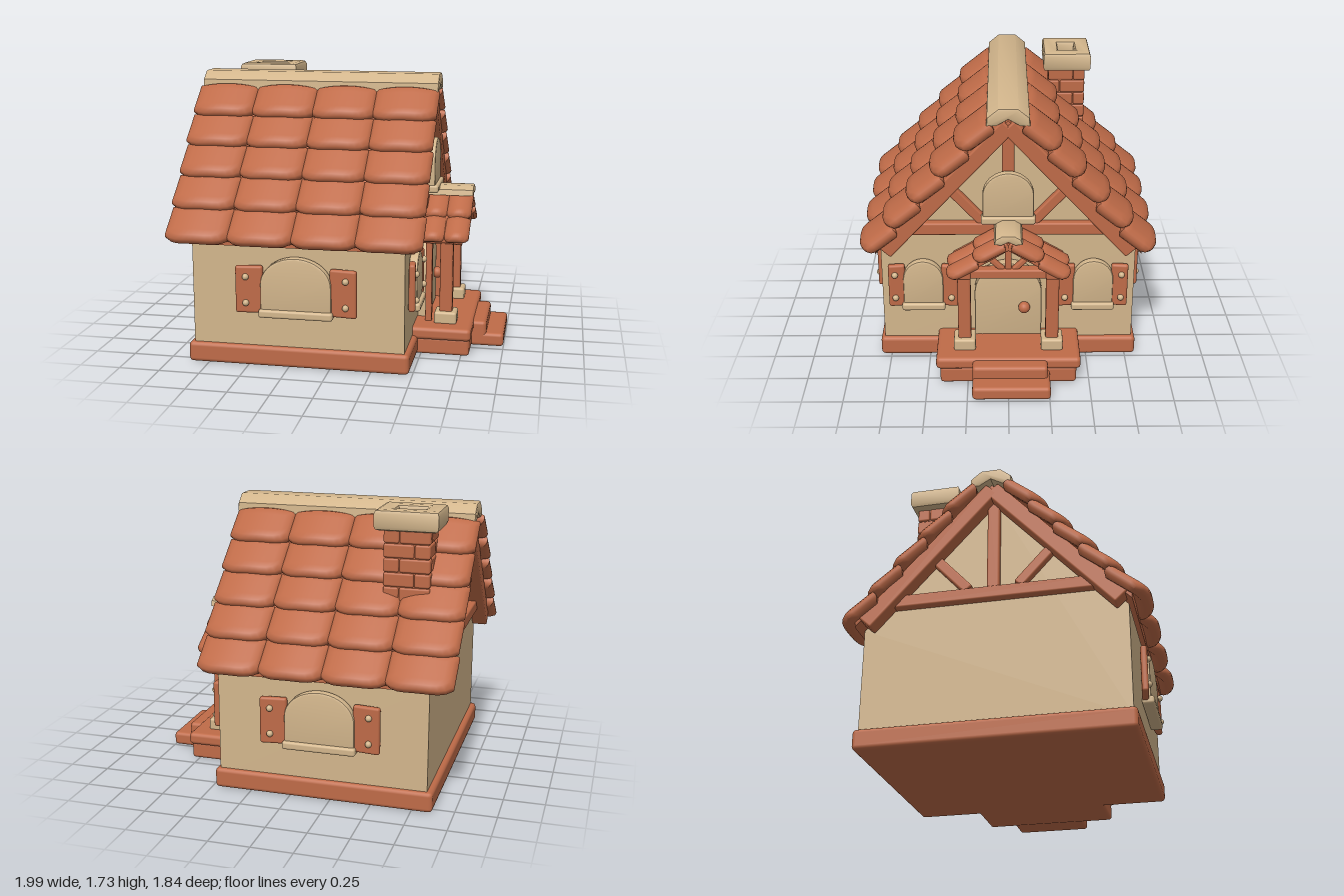
import * as THREE from 'three';
import { RoundedBoxGeometry } from 'three/addons/geometries/RoundedBoxGeometry.js';
import { mergeVertices, toCreasedNormals } from 'three/addons/utils/BufferGeometryUtils.js';

const makeMat = (name, color) => Object.assign(new THREE.MeshStandardMaterial({ color }), { name });
const terracotta = makeMat('terracotta', 0xbf6b48);
const plaster = makeMat('cream plaster', 0xd3b68c);
const glass = makeMat('dusky glass', 0x8c6a60);

const group = (name, parent) => {
  const g = new THREE.Group();
  g.name = name;
  parent?.add(g);
  return g;
};
const mesh = (name, geo, mat, parent, x = 0, y = 0, z = 0) => {
  const m = new THREE.Mesh(geo, mat);
  m.name = name;
  m.position.set(x, y, z);
  parent.add(m);
  return m;
};
// Soft-edged box given by its centre and size
const box = (name, mat, parent, [x, y, z], [w, h, d], r = 0.012) =>
  mesh(name, new RoundedBoxGeometry(w, h, d, 2, r), mat, parent, x, y, z);
// Soft-edged box given by its two x, y and z limits
const span = (name, mat, parent, x0, x1, y0, y1, z0, z1, r) =>
  box(name, mat, parent, [(x0 + x1) / 2, (y0 + y1) / 2, (z0 + z1) / 2], [x1 - x0, y1 - y0, z1 - z0], r);
// Beam in the local xy plane between two points
const beam = (name, parent, [x0, y0], [x1, y1], width, z, depth) => {
  const m = box(name, terracotta, parent, [(x0 + x1) / 2, (y0 + y1) / 2, z],
    [Math.hypot(x1 - x0, y1 - y0), width, depth]);
  m.rotation.z = Math.atan2(y1 - y0, x1 - x0);
  return m;
};
const extrude = (shape, depth, bevel = 0) => toCreasedNormals(new THREE.ExtrudeGeometry(shape, {
  depth: depth - 2 * bevel, bevelEnabled: bevel > 0, bevelSize: bevel, bevelThickness: bevel,
  bevelOffset: -bevel, bevelSegments: 2, curveSegments: 14,
}).translate(0, 0, bevel), 0.7);
const polygon = pts => new THREE.Shape(pts.map(p => new THREE.Vector2(...p)));
// Profile in the (z, y) plane drawn out along x
const extrudeX = (name, mat, parent, pts, x0, x1, bevel) =>
  mesh(name, extrude(polygon(pts), x1 - x0, bevel).rotateY(Math.PI / 2), mat, parent, x0);

// Opening with straight sides and an elliptical top
function arch(w, y0, y1, rise, Type = THREE.Shape) {
  const s = new Type();
  s.moveTo(-w, y0);
  s.lineTo(w, y0);
  s.lineTo(w, y1 - rise);
  s.absellipse(0, y1 - rise, w, rise, 0, Math.PI, false);
  s.closePath();
  return s;
}
function archFrame(w, y0, y1, rise, border, depth, parent) {
  const s = arch(w, y0, y1, rise);
  s.holes.push(arch(w - border, y0 + 0.015, y1 - border, rise - border * 0.6, THREE.Path));
  mesh('archFrame', extrude(s, depth, 0.012), plaster, parent);
}

// Window facing +z, bottom of sill at y = 0
function makeWindow(parent, w, h, rise, border, shutter) {
  const g = group('window', parent);
  archFrame(w, 0.02, h, rise, border, 0.055, g);
  mesh('glass', extrude(arch(w - border / 2, 0.03, h - border / 2, rise - border / 2), 0.009), glass, g, 0, 0, 0.004);
  const top = h - border / 2;
  span('mullion', plaster, g, -0.011, 0.011, 0.03, top, 0, 0.035, 0.005);
  span('transom', plaster, g, border / 2 - w, w - border / 2, h * 0.47, h * 0.47 + 0.022, 0, 0.033, 0.005);
  span('sill', plaster, g, -w - 0.01, w + 0.01, 0, 0.05, 0, 0.075, 0.015);
  if (shutter) for (const s of [-1, 1]) {
    const hinge = group('shutter', g);
    hinge.position.set(s * (w - 0.012 + shutter / 2), 0.165, 0.03);
    hinge.rotation.y = -s * 0.12;
    box('shutterPanel', terracotta, hinge, [0, 0, 0], [shutter, 0.29, 0.04], 0.015);
    for (const y of [-0.08, 0.08])
      mesh('shutterStud', new THREE.SphereGeometry(0.02, 12, 8), plaster, hinge, s * shutter * 0.12, y, 0.024);
  }
  return g;
}

// Pillowed tile: y = 0 at its scalloped lip, rising upslope, crowned along z
function tileGeometry(w, len, t) {
  const geo = new THREE.BoxGeometry(w, len, t, 10, 5, 4);
  const p = geo.attributes.position;
  for (let i = 0; i < p.count; i++) {
    const u = p.getX(i) / (w / 2), v = p.getY(i) / len + 0.5, k = p.getZ(i) / (t / 2);
    const inset = 0.4 * t * (1 - Math.sqrt(1 - 0.96 * k * k));
    const lift = len * 0.2 * u ** 4 * (1 - v);
    p.setXYZ(i, u * (w / 2 - inset), inset + v * (len - 2 * inset) + lift,
      p.getZ(i) - t * 0.35 * u * u);
  }
  geo.deleteAttribute('normal');
  geo.deleteAttribute('uv');
  const g = mergeVertices(geo, 1e-4);
  g.computeVertexNormals();
  return toCreasedNormals(g, 1.1);
}
// Both slopes of a tiled roof, centred on x, with ridge along x
function tiledRoof(name, parent, x, o) {
  const roof = group(name, parent);
  roof.position.x = x;
  const geo = tileGeometry(o.width + 0.012, o.len, o.thick);
  for (const turn of [0, Math.PI]) {
    const slope = group('roofSlope', roof);
    slope.rotation.y = turn;
    for (let r = 0; r < o.rows; r++) for (let c = 0; c < o.cols; c++) {
      const m = mesh('roofTile', geo, terracotta, slope, (c - (o.cols - 1) / 2) * o.width,
        o.lip[1] - r * o.step[1], o.lip[0] + r * o.step[0]);
      m.rotation.x = o.tilt - Math.PI / 2;
      m.scale.x = 1 + 0.015 * ((r + c) % 2);
    }
  }
}
// Chevron closing a roof from below
const chevron = (parent, z, y, apex, t, x0, x1) => extrudeX('roofDeck', terracotta, parent,
  [[-z, y], [0, apex], [z, y], [z, y + t], [0, apex + t], [-z, y + t]], x0, x1, 0.005);

// Timber framing of a main gable, facing +z
function gableTimbers(parent, overhang) {
  const g = group('gableTimbers', parent);
  for (const s of [-1, 1]) {
    beam('bargeBoard', g, [0, 1.59], [s * 0.76, 0.765], 0.1, overhang / 2, overhang);
    beam('gableBrace', g, [s * 0.36, 1.18], [s * 0.15, 0.95], 0.065, 0.015, 0.05);
  }
  beam('tieBeam', g, [-0.68, 0.91], [0.68, 0.91], 0.08, 0.02, 0.06);
  beam('kingPost', g, [0, 0.93], [0, 1.55], 0.075, 0.015, 0.05);
  return g;
}

export function createModel() {
  const house = group('cottage');
  const Z = 0.79, XF = 0.45, XB = -0.84;

  // Plinth, walls and main roof
  span('plinth', terracotta, house, -0.875, 0.48, 0, 0.125, -0.815, 0.815, 0.025);
  extrudeX('walls', plaster, house, [[-Z, 0.08], [Z, 0.08], [Z, 0.76], [0, 1.57], [-Z, 0.76]], XB, XF);
  chevron(house, 0.82, 0.745, 1.57, 0.05, -0.93, 0.51);
  tiledRoof('mainRoof', house, -0.215, { cols: 4, rows: 5, width: 0.383, len: 0.27, thick: 0.08,
    lip: [0.32, 1.45], step: [0.148, 0.168], tilt: 0.67 });
  extrudeX('ridgeCap', plaster, house, [[-0.13, 1.6], [-0.07, 1.6], [0, 1.64], [0.07, 1.6], [0.13, 1.6],
    [0.125, 1.655], [0.06, 1.708], [-0.06, 1.708], [-0.125, 1.655]], -0.965, 0.555, 0.014);

  // Gables
  const front = gableTimbers(house, 0.08);
  front.position.x = XF;
  front.rotation.y = Math.PI / 2;
  const rear = gableTimbers(house, 0.1);
  rear.position.x = XB;
  rear.rotation.y = -Math.PI / 2;
  const attic = makeWindow(front, 0.155, 0.33, 0.15, 0.055, 0);
  attic.position.set(0, 0.97, 0.04);

  // Windows on the long walls and beside the door
  for (const s of [-1, 1]) {
    const side = makeWindow(house, 0.215, 0.37, 0.17, 0.06, 0.165);
    side.position.set(-0.195, 0.32, s * Z);
    side.rotation.y = s > 0 ? 0 : Math.PI;
    const small = makeWindow(house, 0.125, 0.34, 0.13, 0.04, 0.105);
    small.position.set(XF, 0.35, s * 0.53);
    small.rotation.y = Math.PI / 2;
  }

  // Chimney of staggered bricks with a hollow cap
  const chimney = group('chimney', house);
  chimney.position.set(-0.63, 0, -0.395);
  span('chimneyCore', terracotta, chimney, -0.13, 0.13, 1.0, 1.62, -0.11, 0.11, 0.005);
  for (let r = 0; r < 6; r++) {
    const y = 1.1 + r * 0.086, cx = r % 2 ? 0.045 : -0.045, cz = -cx;
    for (const [x0, x1] of [[-0.142, cx], [cx, 0.142]]) for (const [z0, z1] of [[-0.123, cz], [cz, 0.123]])
      span('chimneyBrick', terracotta, chimney, x0 + 0.002, x1 - 0.002, y, y + 0.083, z0 + 0.002, z1 - 0.002, 0.012);
  }
  const rect = (w, d, T) => new T([[-w, -d], [w, -d], [w, d], [-w, d]].map(p => new THREE.Vector2(...p)));
  const capShape = rect(0.19, 0.155, THREE.Shape);
  capShape.holes.push(rect(0.085, 0.055, THREE.Path));
  mesh('chimneyCap', extrude(capShape, 0.125, 0.025).rotateX(-Math.PI / 2), plaster, chimney, 0, 1.605, 0);

  // Porch floor and steps
  span('porchBase', terracotta, house, 0.4, 0.8, 0, 0.11, -0.42, 0.42, 0.02);
  span('porchFloor', terracotta, house, 0.4, 0.81, 0.1, 0.178, -0.445, 0.445, 0.025);
  span('upperStep', terracotta, house, 0.7, 0.89, 0.03, 0.165, -0.24, 0.22, 0.022);
  span('lowerStep', terracotta, house, 0.7, 1.0, 0.005, 0.09, -0.255, 0.22, 0.022);

  // Door, facing +x
  const door = group('door', house);
  door.position.set(XF, 0.17, 0);
  door.rotation.y = Math.PI / 2;
  archFrame(0.21, 0, 0.515, 0.21, 0.055, 0.07, door);
  mesh('doorBack', extrude(arch(0.17, 0, 0.475, 0.19), 0.02), terracotta, door);
  const top = x => 0.285 + 0.175 * Math.sqrt(1 - (x / 0.165) ** 2);
  for (let i = 0; i < 4; i++) {
    const x0 = -0.158 + i * 0.079, x1 = x0 + 0.077, xm = (x0 + x1) / 2;
    mesh('doorPlank', extrude(polygon([[x0, 0.005], [x1, 0.005], [x1, top(x1)], [xm, top(xm)], [x0, top(x0)]]),
      0.045, 0.007), terracotta, door);
  }
  mesh('doorKnob', new THREE.SphereGeometry(0.037, 18, 12), terracotta, door, 0.1, 0.215, 0.09);
  span('knobStem', terracotta, door, 0.085, 0.115, 0.2, 0.23, 0.03, 0.08, 0.008);

  // Porch posts, beams and truss
  const porch = group('porch', house);
  for (const s of [-1, 1]) {
    const z = s * 0.27;
    box('postFoot', plaster, porch, [0.64, 0.21, z], [0.14, 0.08, 0.135], 0.015);
    box('porchPost', terracotta, porch, [0.64, 0.46, z], [0.08, 0.48, 0.08], 0.014);
    box('wallPost', terracotta, porch, [0.53, 0.43, z], [0.04, 0.52, 0.06], 0.01);
    box('porchPlate', terracotta, porch, [0.59, 0.715, z], [0.28, 0.065, 0.09], 0.014);
  }
  const truss = group('porchTruss', porch);
  truss.position.x = 0.68;
  truss.rotation.y = Math.PI / 2;
  beam('porchTie', truss, [-0.32, 0.715], [0.32, 0.715], 0.06, 0.005, 0.07);
  beam('porchKingPost', truss, [0, 0.71], [0, 0.92], 0.04, 0, 0.04);
  for (const s of [-1, 1]) {
    beam('porchBarge', truss, [0, 0.915], [s * 0.34, 0.705], 0.055, 0.03, 0.06);
    beam('porchStrut', truss, [s * 0.03, 0.73], [s * 0.13, 0.83], 0.035, 0, 0.04);
  }

  // Porch roof
  chevron(house, 0.34, 0.7, 0.9, 0.035, 0.44, 0.73);
  tiledRoof('porchRoof', house, 0.625, { cols: 2, rows: 2, width: 0.145, len: 0.21, thick: 0.055,
    lip: [0.21, 0.835], step: [0.16, 0.115], tilt: 0.52 });
  extrudeX('porchRidgeCap', plaster, house, [[-0.085, 0.945], [-0.04, 0.94], [0, 0.96], [0.04, 0.94], [0.085, 0.945],
    [0.075, 0.98], [0.035, 1.003], [-0.035, 1.003], [-0.075, 0.98]], 0.45, 0.78, 0.01);

  return house;
}
